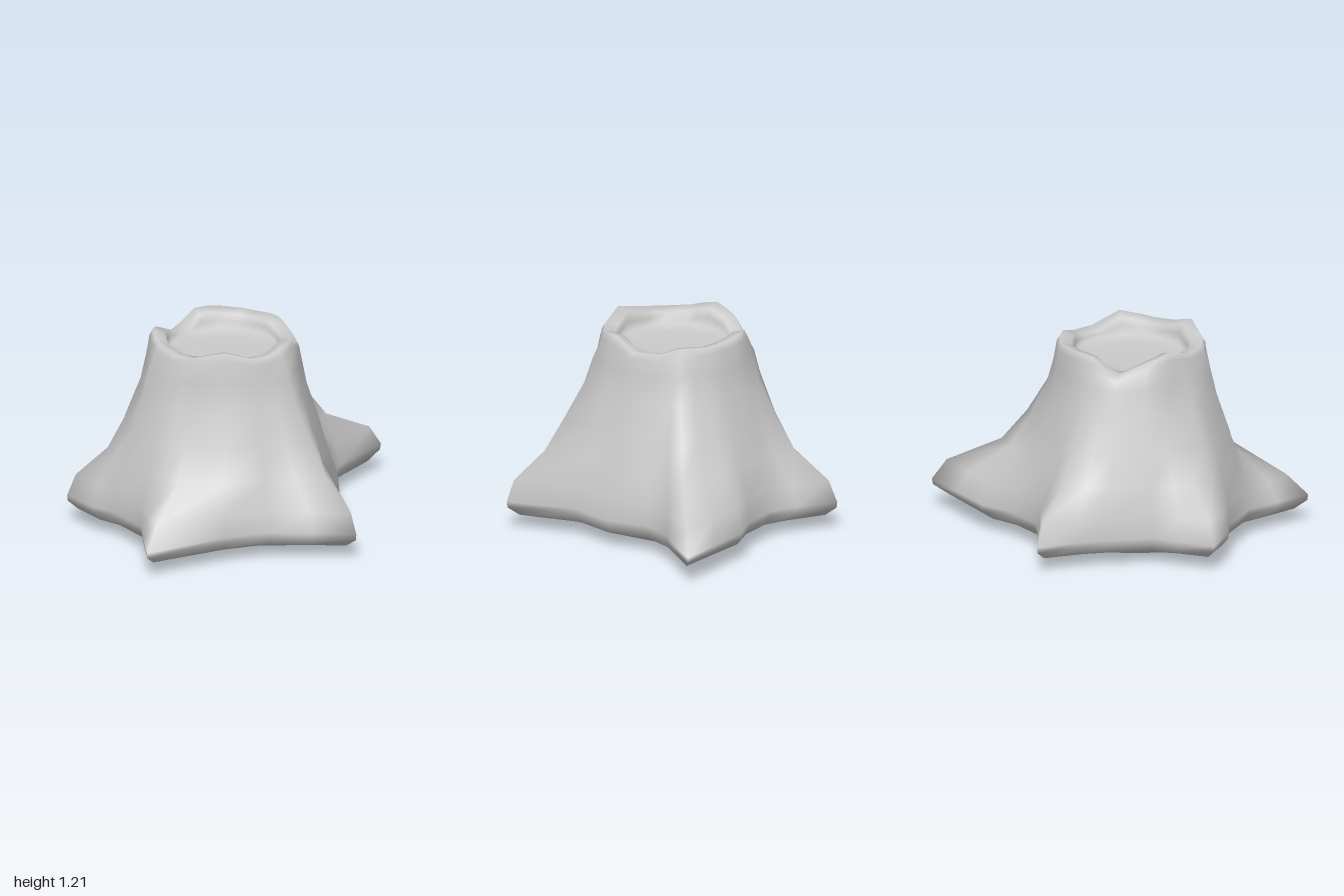
import * as THREE from 'three';

const CX = -0.16, CZ = 0.03; // trunk axis

// Footprint of the stump: [x, z, pinch]; pinch > 1 makes the bark hug the ground, < 1 fills it out
const OUTLINE = [
  [0.51, 0.03, 1], [0.46, 0.29, 0.9], [0.31, 0.51, 0.8],
  [0.28, 0.93, 0.65], [0.05, 0.81, 0.9], [-0.17, 0.69, 1], [-0.44, 0.66, 1],
  [-0.95, 0.70, 2], [-0.88, 0.49, 1.3], [-0.81, 0.30, 0.55], [-0.86, 0.03, 0.5], [-0.94, -0.10, 0.75],
  [-1.0, -0.33, 1], [-0.80, -0.38, 0.8], [-0.63, -0.42, 0.6], [-0.44, -0.60, 0.6], [-0.32, -0.73, 0.75],
  [-0.17, -0.94, 0.87], [-0.03, -0.73, 0.9], [0.08, -0.60, 0.8], [0.30, -0.53, 0.9], [0.50, -0.53, 1],
  [0.75, -0.43, 1], [1.0, -0.33, 0.95], [0.65, -0.12, 1],
];

// Jagged rim: [angle in degrees, height]
const RIM = [[-20, 1.185], [3, 1.13], [25, 1.13], [47, 1.205], [72, 1.16], [98, 1.17], [114, 1.215],
  [140, 1.17], [172, 1.155], [201, 1.215], [226, 1.16], [246, 1.09], [258, 1.125], [271, 1.195],
  [305, 1.18], [326, 1.17], [340, 1.185]];

function rimHeight(deg) {
  if (deg > 340) deg -= 360;
  for (let i = 1; i < RIM.length; i++) {
    const [a0, h0] = RIM[i - 1], [a1, h1] = RIM[i];
    if (deg <= a1) return THREE.MathUtils.lerp(h0, h1, (deg - a0) / (a1 - a0));
  }
  return RIM[0][1];
}

// Rings from the cut face, over the rim, down the bark and under the roots:
// [trunk radius, spread towards the footprint, height, share of the rim's jaggedness]
const RINGS = [
  [0, 0, 1.075, 0], [0.2, 0, 1.075, 0], [0.32, 0, 1.08, 0], [0.33, 0, 1.12, 0.4],
  [0.345, 0, 1.155, 0.9], [0.415, 0, 1.17, 1], [0.435, 0, 1.135, 0.9],
  [0.445, 0.02, 1.02, 0.2], [0.465, 0.05, 0.87, 0], [0.52, 0.15, 0.66, 0], [0.56, 0.33, 0.47, 0],
  [0.58, 0.85, 0.30, 0], [0.58, 1, 0.17, 0], [0.5, 0.99, 0.135, 0],
  [0.45, 0.86, 0.085, 0], [0.43, 0.4, 0.04, 0], [0.42, 0.04, 0.007, 0],
];

function buildStump() {
  const n = OUTLINE.length, pos = [], idx = [];
  RINGS.forEach(([r, spread, y, jag], i) => {
    // the open base sits slightly off the trunk axis and has an uneven edge
    const base = i === RINGS.length - 1 ? 1 : 0;
    OUTLINE.forEach(([x, z, pinch], j) => {
      const a = Math.atan2(z - CZ, x - CX);
      const t = Math.pow(spread, i < 12 ? pinch : 1);
      const deg = (THREE.MathUtils.radToDeg(a) + 360) % 360;
      pos.push(
        THREE.MathUtils.lerp(CX + r * Math.cos(a), x, t) + base * 0.05,
        y + jag * (rimHeight(deg) - 1.17) + base * 0.007 * Math.sin(a * 3),
        THREE.MathUtils.lerp(CZ + r * Math.sin(a), z, t) - base * 0.05,
      );
      if (i + 1 < RINGS.length) {
        const k = (j + 1) % n, p = i * n + j, q = i * n + k;
        if (i > 0) idx.push(p, q, q + n);
        idx.push(p, q + n, p + n);
      }
    });
  });
  const g = new THREE.BufferGeometry();
  g.setAttribute('position', new THREE.Float32BufferAttribute(pos, 3));
  g.setIndex(idx);
  g.computeVertexNormals();
  return g;
}

export function createModel() {
  const group = new THREE.Group();
  group.name = 'treeStump';
  // Hollow underneath, so the inside is visible through the open base
  const material = new THREE.MeshStandardMaterial({ color: 0xcccccc, side: THREE.DoubleSide });
  const stump = new THREE.Mesh(buildStump(), material);
  stump.name = 'trunkAndRoots';
  group.add(stump);
  return group;
}
